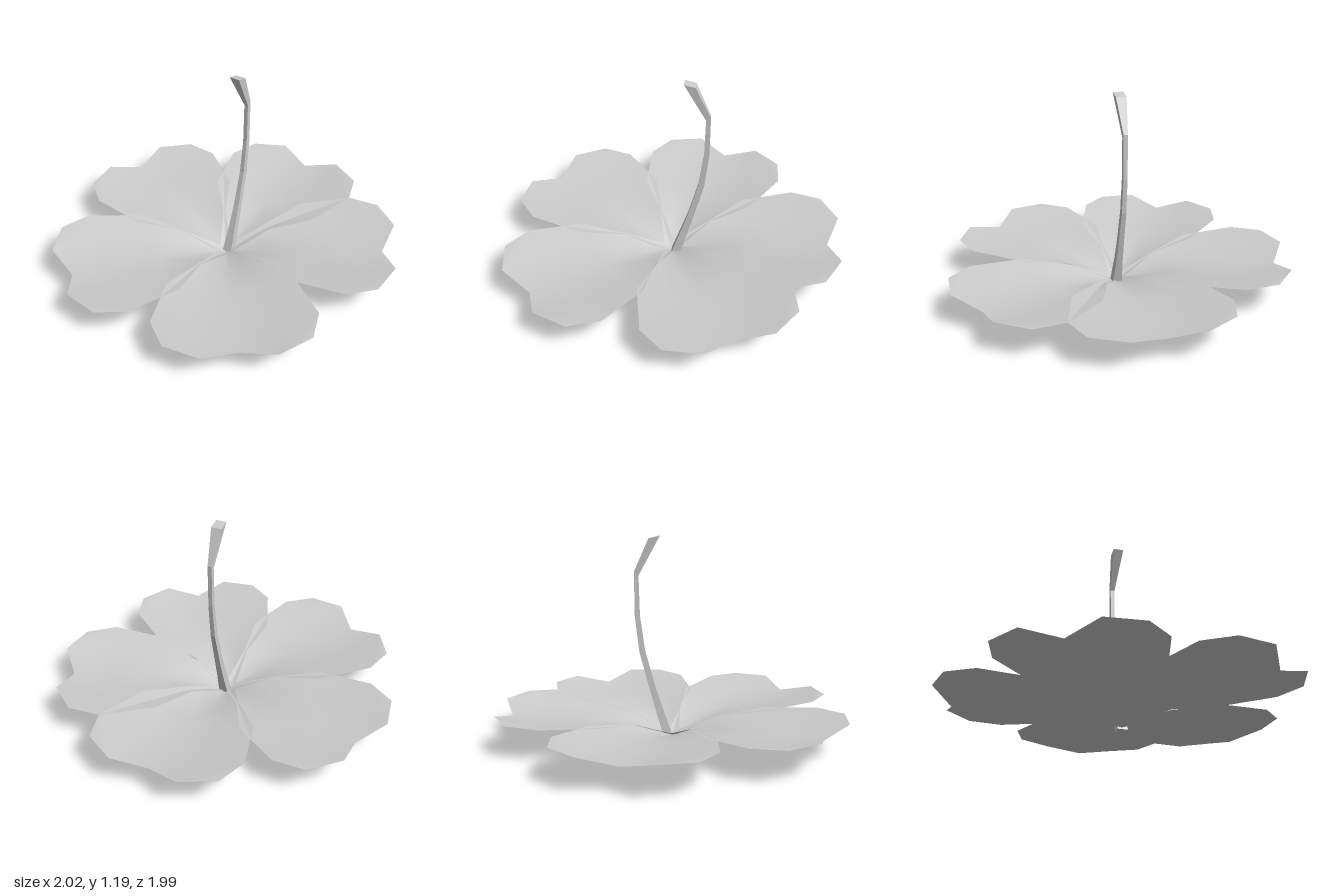
import * as THREE from 'three';

const grey = () => new THREE.MeshStandardMaterial({ color: 0xcccccc, side: THREE.DoubleSide });

// One heart-shaped, cupped petal pointing to -z.
// Each row runs centre, halfway, edge as [across, height, along].
function petalGeometry() {
  const rows = [
    [[0, 0.02, 0], [0.02, 0.025, 0], [0.04, 0.035, 0]],
    [[0, 0.08, 0.24], [0.085, 0.098, 0.235], [0.17, 0.13, 0.22]],
    [[0, 0.115, 0.46], [0.18, 0.132, 0.46], [0.36, 0.165, 0.42]],
    [[0, 0.13, 0.72], [0.22, 0.15, 0.74], [0.45, 0.185, 0.73]],
    [[0, 0.14, 0.94], [0.2, 0.19, 1.01], [0.39, 0.19, 0.91]],
  ];
  const positions = [], index = [];
  rows.forEach((row, i) => {
    for (let j = -2; j <= 2; j++) {
      const [u, y, v] = row[Math.abs(j)];
      positions.push(Math.sign(j) * u, y, -v);
    }
    if (i === rows.length - 1) return;
    for (let j = 0; j < 4; j++) {
      const a = i * 5 + j, b = a + 1, c = a + 5, d = a + 6;
      // diagonals mirror about the midrib
      if (j < 2) index.push(a, b, d, a, d, c);
      else index.push(a, b, c, b, d, c);
    }
  });
  const g = new THREE.BufferGeometry();
  g.setAttribute('position', new THREE.Float32BufferAttribute(positions, 3));
  g.setIndex(index);
  g.computeVertexNormals();
  return g;
}

// Square stem: each section is [half width, front z, front y, back z, back y]
function stemGeometry() {
  const sections = [
    [0.03, 0.03, 0.01, -0.02, 0],
    [0.02, -0.032, 0.19, -0.07, 0.17],
    [0.016, -0.075, 0.32, -0.108, 0.305],
    [0.013, -0.132, 0.53, -0.165, 0.52],
    [0.012, -0.16, 0.73, -0.19, 0.73],
    [0.012, -0.167, 0.965, -0.193, 0.985],
    [0.03, -0.045, 1.19, -0.108, 1.175],
  ];
  const rings = sections.map(([w, zf, yf, zb, yb]) =>
    [[-w, yf, zf], [w, yf, zf], [w, yb, zb], [-w, yb, zb]]);
  const p = [];
  const quad = (a, b, c, d) => p.push(...a, ...b, ...c, ...a, ...c, ...d);
  for (let i = 0; i < rings.length - 1; i++) {
    for (let k = 0; k < 4; k++) {
      const n = (k + 1) % 4;
      quad(rings[i][k], rings[i][n], rings[i + 1][n], rings[i + 1][k]);
    }
  }
  const last = rings[rings.length - 1], first = rings[0];
  quad(...last);
  quad(...first.slice().reverse());
  const g = new THREE.BufferGeometry();
  g.setAttribute('position', new THREE.Float32BufferAttribute(p, 3));
  g.computeVertexNormals();
  return g;
}

export function createModel() {
  const model = new THREE.Group();
  model.name = 'flower';

  // Five petals around the centre, slightly unevenly spaced
  const petals = new THREE.Group();
  petals.name = 'petals';
  petals.position.z = 0.03;
  const geometry = petalGeometry();
  [1, 64, 141.5, 214, 288].forEach((deg, i) => {
    const petal = new THREE.Mesh(geometry, grey());
    petal.name = 'petal' + (i + 1);
    petal.rotation.y = -THREE.MathUtils.degToRad(deg);
    petals.add(petal);
  });
  model.add(petals);

  // Curved stem with a flared tip
  const stem = new THREE.Mesh(stemGeometry(), grey());
  stem.name = 'stem';
  stem.position.x = 0.008;
  model.add(stem);

  return model;
}
